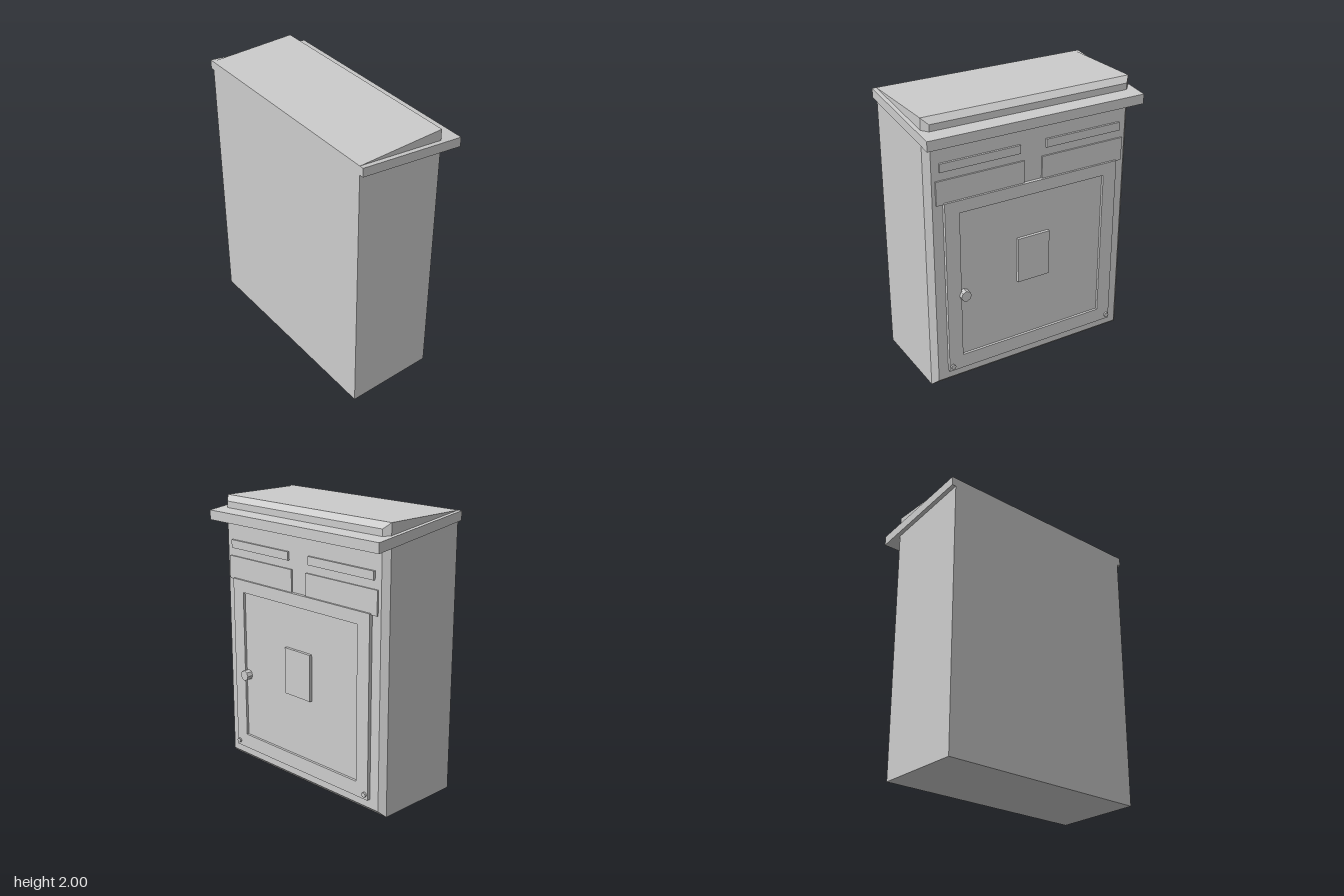
import * as THREE from 'three';

export function createModel() {
  const model = new THREE.Group();
  const grey = new THREE.MeshStandardMaterial({ color: 0xcccccc });
  grey.name = 'light grey';

  const add = (name, geometry, x = 0, y = 0, z = 0) => {
    const mesh = new THREE.Mesh(geometry, grey);
    mesh.name = name;
    mesh.position.set(x, y, z);
    model.add(mesh);
    return mesh;
  };

  // Cabinet body: a box whose door side is bevelled all round
  let body = new THREE.BoxGeometry(1.59, 2, 0.8, 1, 1, 2);
  const p = body.attributes.position;
  for (let i = 0; i < p.count; i++) {
    const z = p.getZ(i);
    if (z > 0.1) continue;
    if (z > -0.1) p.setZ(i, -0.25);
    else p.setXYZ(i, Math.sign(p.getX(i)) * 0.755, Math.sign(p.getY(i)) * 0.96, -0.29);
  }
  body = body.toNonIndexed();
  body.computeVertexNormals();
  add('body', body, 0, 1, 0);

  // Sloping roof slab, lower on the door side
  const slab = new THREE.Shape([[0.4, 2], [0.4, 1.935], [-0.395, 1.83], [-0.395, 1.9]]
    .map(([z, y]) => new THREE.Vector2(-z, y)));
  const roof = new THREE.ExtrudeGeometry(slab, { depth: 1.65, bevelEnabled: false });
  roof.translate(0, 0, -0.825).rotateY(Math.PI / 2);
  add('roof', roof);

  // Plate on the door side, given by its extents
  const plate = (name, x0, x1, y0, y1, zOut, zIn = -0.28) =>
    add(name, new THREE.BoxGeometry(x1 - x0, y1 - y0, zIn - zOut),
      (x0 + x1) / 2, (y0 + y1) / 2, (zIn + zOut) / 2);

  // Door frame with an opening around the recessed panel
  const rect = (C, x, y0, y1) => new C([[-x, y0], [x, y0], [x, y1], [-x, y1]]
    .map(([a, b]) => new THREE.Vector2(a, b)));
  const frame = rect(THREE.Shape, 0.68, 0.105, 1.41);
  frame.holes.push(rect(THREE.Path, 0.572, 0.212, 1.32));
  add('doorFrame', new THREE.ExtrudeGeometry(frame, { depth: 0.035, bevelEnabled: false }), 0, 0, -0.316);
  plate('doorPanel', -0.575, 0.575, 0.21, 1.322, -0.298);
  plate('doorLabel', -0.126, 0.126, 0.665, 1.005, -0.32);

  // Round fittings pointing out of the door
  const stud = (name, x, y, r, zOut) => {
    const length = -0.295 - zOut;
    const g = new THREE.CylinderGeometry(r, r, length, 8).toNonIndexed();
    g.computeVertexNormals();
    g.rotateX(Math.PI / 2);
    add(name, g, x, y, zOut + length / 2);
  };
  stud('doorKnob', 0.55, 0.695, 0.039, -0.345);

  // Mirrored slots, name plates and hinge bolts
  for (const s of [-1, 1]) {
    const side = s > 0 ? 'left' : 'right';
    const pair = (name, a, b, ...rest) =>
      plate(side + name, Math.min(s * a, s * b), Math.max(s * a, s * b), ...rest);
    pair('Slot', 0.1, 0.7, 1.63, 1.69, -0.306);
    pair('NamePlate', 0.07, 0.73, 1.4, 1.57, -0.301);
    stud(side + 'Bolt', s * 0.655, 0.142, 0.018, -0.33);
  }

  return model;
}
